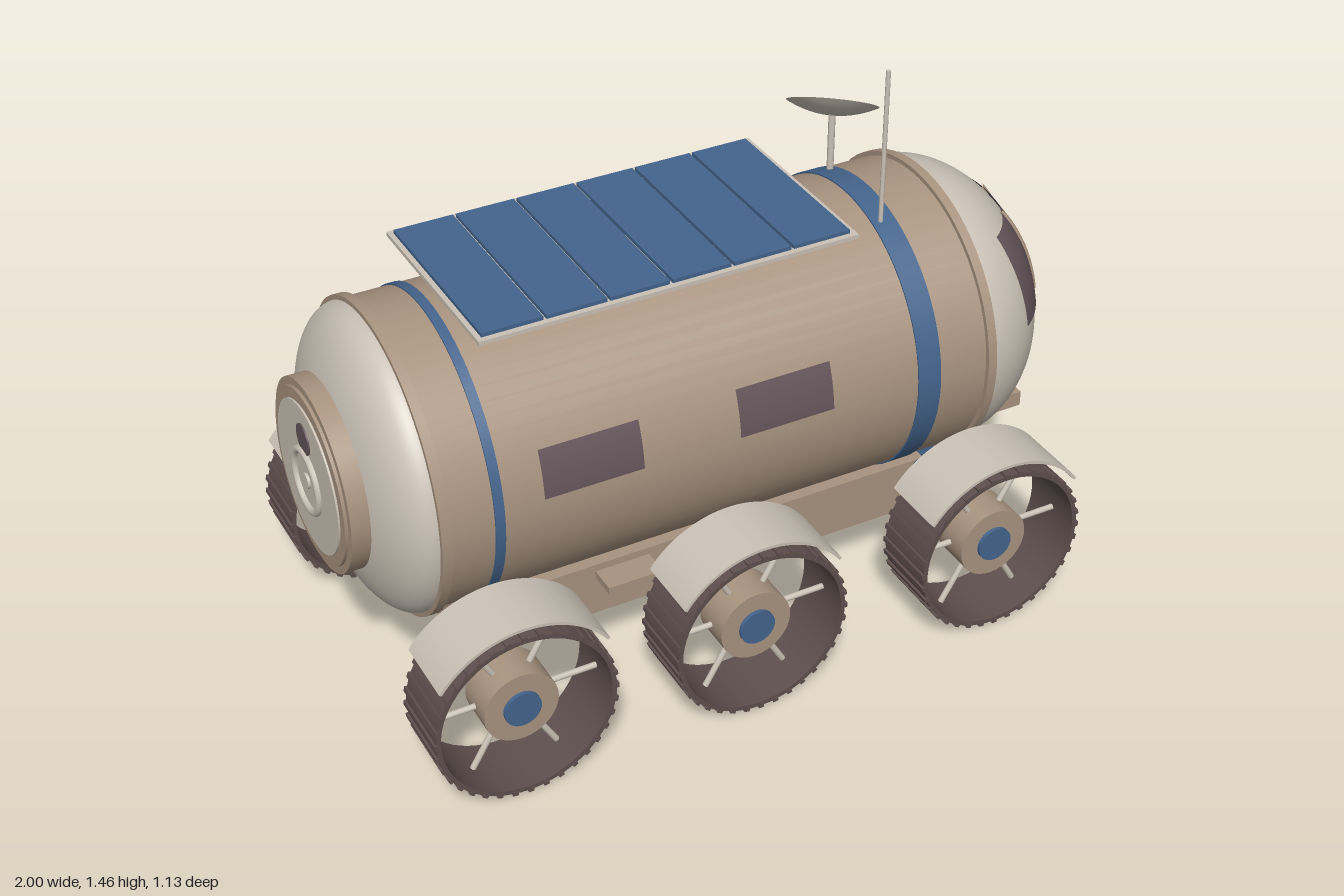
import * as THREE from 'three';
import { toCreasedNormals } from 'three/addons/utils/BufferGeometryUtils.js';

const PI = Math.PI, AXIS_Y = 0.68, R = 0.39;

function paint(name, color, side = THREE.FrontSide) {
  const m = new THREE.MeshStandardMaterial({ color, side });
  m.name = name;
  return m;
}

export function createModel() {
  const tan = paint('tan hull', 0xa8937f);
  const light = paint('pale shell', 0xcbc2b6, THREE.DoubleSide);
  const blue = paint('blue', 0x44648c);
  const dark = paint('dark glass', 0x64545a, THREE.DoubleSide);
  const rubber = paint('dark tread', 0x5e4f4d);

  const model = new THREE.Group();
  model.name = 'rover';

  function add(name, geo, mat, x = 0, y = 0, z = 0, parent = model) {
    const m = new THREE.Mesh(geo, mat);
    m.name = name;
    m.position.set(x, y, z);
    parent.add(m);
    return m;
  }
  // Box given by its limits on each axis
  function box(name, mat, x0, x1, y0, y1, z0, z1) {
    return add(name, new THREE.BoxGeometry(x1 - x0, y1 - y0, z1 - z0), mat,
      (x0 + x1) / 2, (y0 + y1) / 2, (z0 + z1) / 2);
  }
  // Round section along the hull axis
  function drum(name, mat, r, x0, x1, y = AXIS_Y, z = 0) {
    return add(name, new THREE.CylinderGeometry(r, r, x1 - x0, 64).rotateZ(PI / 2), mat, (x0 + x1) / 2, y, z);
  }
  function rod(name, mat, a, b, r, parent = model) {
    const p = new THREE.Vector3(...a), d = new THREE.Vector3(...b).sub(p);
    const m = add(name, new THREE.CylinderGeometry(r, r, d.length(), 12), mat, 0, 0, 0, parent);
    m.position.copy(p).addScaledVector(d, 0.5);
    m.quaternion.setFromUnitVectors(new THREE.Vector3(0, 1, 0), d.normalize());
    return m;
  }
  // Ring sector extruded along z, centred on z = 0
  function sector(r0, r1, a0, a1, depth) {
    const s = new THREE.Shape();
    if (a1 - a0 > 6.28) {
      s.absarc(0, 0, r1, 0, 2 * PI);
      s.holes.push(new THREE.Path().absarc(0, 0, r0, 0, 2 * PI, true));
    } else {
      s.absarc(0, 0, r1, a0, a1, false);
      s.absarc(0, 0, r0, a1, a0, true);
      s.closePath();
    }
    const g = new THREE.ExtrudeGeometry(s, { depth, bevelEnabled: false, curveSegments: 32 });
    return toCreasedNormals(g.translate(0, 0, -depth / 2), 0.6);
  }

  // Pressure hull with flanges and painted bands
  drum('hull', tan, R, -0.81, 0.7);
  drum('rearFlange', tan, 0.402, -0.815, -0.79);
  drum('frontFlange', tan, 0.402, 0.677, 0.702);
  drum('rearBand', blue, 0.394, -0.677, -0.652);
  drum('frontBand', blue, 0.394, 0.475, 0.54);

  // Domed ends
  const nose = add('noseDome', new THREE.SphereGeometry(1, 48, 40, PI / 2, PI), light, 0.69, AXIS_Y, 0);
  nose.scale.set(0.303, R, R);
  const tail = add('tailDome', new THREE.SphereGeometry(1, 48, 40, -PI / 2, PI), light, -0.81, AXIS_Y, 0);
  tail.scale.set(0.15, R, R);

  // Wraparound windshield and its mullions
  const span = 62 * PI / 180, top = Math.acos(0.73), low = Math.acos(0.167);
  const glass = add('windshield', new THREE.SphereGeometry(1, 40, 16, PI - span, 2 * span, top, low - top),
    dark, 0.69, AXIS_Y, 0);
  glass.scale.set(0.307, 0.394, 0.394);
  for (const deg of [-30, 0, 30]) {
    const pts = [], a = deg * PI / 180;
    for (let i = 0; i <= 8; i++) {
      const t = top + (low - top) * i / 8;
      pts.push(new THREE.Vector3(0.69 + 0.306 * Math.sin(t) * Math.cos(a),
        AXIS_Y + 0.393 * Math.cos(t), 0.393 * Math.sin(t) * Math.sin(a)));
    }
    add('mullion', new THREE.TubeGeometry(new THREE.CatmullRomCurve3(pts), 16, 0.008, 8), tan);
  }

  // Curved side windows
  for (const x of [-0.42, 0.1])
    for (const start of [0.1, PI - 0.42])
      add('sideWindow', new THREE.CylinderGeometry(0.394, 0.394, 0.26, 8, 1, true, start, 0.32).rotateZ(PI / 2),
        dark, x, AXIS_Y, 0);

  // Rear hatch
  drum('hatchCollar', tan, 0.245, -0.975, -0.925);
  drum('hatchRim', tan, 0.225, -0.983, -0.97);
  drum('hatchDoor', light, 0.195, -0.988, -0.97);
  drum('hatchWindow', dark, 0.04, -0.992, -0.98, 0.79);
  add('hatchWheel', new THREE.TorusGeometry(0.08, 0.01, 10, 36).rotateY(PI / 2), light, -0.99, 0.67, 0);
  drum('hatchHub', light, 0.02, -0.995, -0.98, 0.67);

  // Chassis, front bracket and bumper
  box('chassis', tan, -0.7, 0.62, 0.178, 0.33, -0.225, 0.225);
  box('bellyBox', tan, -0.6, 0.49, 0.11, 0.18, -0.15, 0.15);
  box('frontBracket', blue, 0.6, 0.835, 0.25, 0.345, -0.135, 0.135);
  box('bumper', tan, 0.835, 0.875, 0.225, 0.285, -0.3, 0.3);

  // Solar array: frame, six cells and splayed legs
  box('solarFrame', light, -0.645, 0.355, 1.105, 1.116, -0.272, 0.272);
  for (let i = 0; i < 6; i++) {
    const x = -0.632 + i * 0.163;
    box('solarCell', blue, x, x + 0.155, 1.114, 1.126, -0.257, 0.257);
  }

  for (const s of [-1, 1]) {
    for (const x of [-0.51, 0.24]) rod('solarLeg', light, [x, 1.11, s * 0.15], [x, 1.04, s * 0.11], 0.009);
    box('sideStep', tan, -0.345, -0.195, 0.29, 0.31, s * 0.26 - 0.04, s * 0.26 + 0.04);
    // Headlight
    box('headlight', tan, 0.82, 0.895, 0.43, 0.472, s * 0.23 - 0.028, s * 0.23 + 0.028);
    drum('headlightLens', light, 0.016, 0.89, 0.9, 0.452, s * 0.225);

    // Wheels with fenders, axles and suspension
    [[-0.69, 0.09], [-0.055, 0], [0.645, -0.1]].forEach(([x, lean]) => {
      const wheel = new THREE.Group();
      wheel.name = 'wheel';
      wheel.position.set(x, 0.245, s * 0.471);
      model.add(wheel);
      add('tyre', sector(0.222, 0.234, 0, 2 * PI, 0.18), rubber, 0, 0, 0, wheel);
      for (let i = 0; i < 36; i++) {
        const a = i * PI / 18;
        const c = add('cleat', new THREE.BoxGeometry(0.012, 0.014, 0.184), rubber,
          0.234 * Math.cos(a), 0.234 * Math.sin(a), 0, wheel);
        c.rotation.z = a;
      }
      for (let i = 0; i < 6; i++) {
        const a = i * PI / 3, c = Math.cos(a), n = Math.sin(a);
        rod('spoke', light, [0.08 * c, 0.08 * n, 0], [0.226 * c, 0.226 * n, 0], 0.008, wheel);
      }
      add('hub', new THREE.CylinderGeometry(0.097, 0.097, 0.11, 32).rotateX(PI / 2), tan, 0, 0, 0, wheel);
      add('hubCap', new THREE.CylinderGeometry(0.048, 0.048, 0.13, 28).rotateX(PI / 2), blue, 0, 0, 0, wheel);
      add('fender', sector(0.26, 0.268, 0.62, PI - 0.62, 0.182), light, 0, 0, 0, wheel);
      rod('axle', light, [x, 0.25, s * 0.2], [x, 0.25, s * 0.43], 0.021);
      rod('strut', blue, [x, 0.26, s * 0.375], [x + lean, 0.39, s * 0.305], 0.015);
    });
  }

  // Whip antenna
  rod('antenna', light, [0.495, 1.05, 0.15], [0.495, 1.467, 0.15], 0.006);

  // Tilted dish on a post, with a short feed
  rod('dishPost', light, [0.52, 1.04, -0.135], [0.52, 1.215, -0.135], 0.009);
  const dish = new THREE.Group();
  dish.name = 'dish';
  dish.position.set(0.512, 1.212, -0.125);
  dish.quaternion.setFromUnitVectors(new THREE.Vector3(0, 1, 0), new THREE.Vector3(0.36, 0.87, -0.46).normalize());
  model.add(dish);
  const bowl = [];
  for (let i = 0; i <= 8; i++) bowl.push(new THREE.Vector2(0.119 * i / 8, 0.03 * (i / 8) ** 2));
  add('bowl', new THREE.LatheGeometry(bowl, 40), light, 0, 0, 0, dish);
  rod('feed', light, [0, 0, 0], [0, 0.035, 0], 0.007, dish);

  return model;
}
